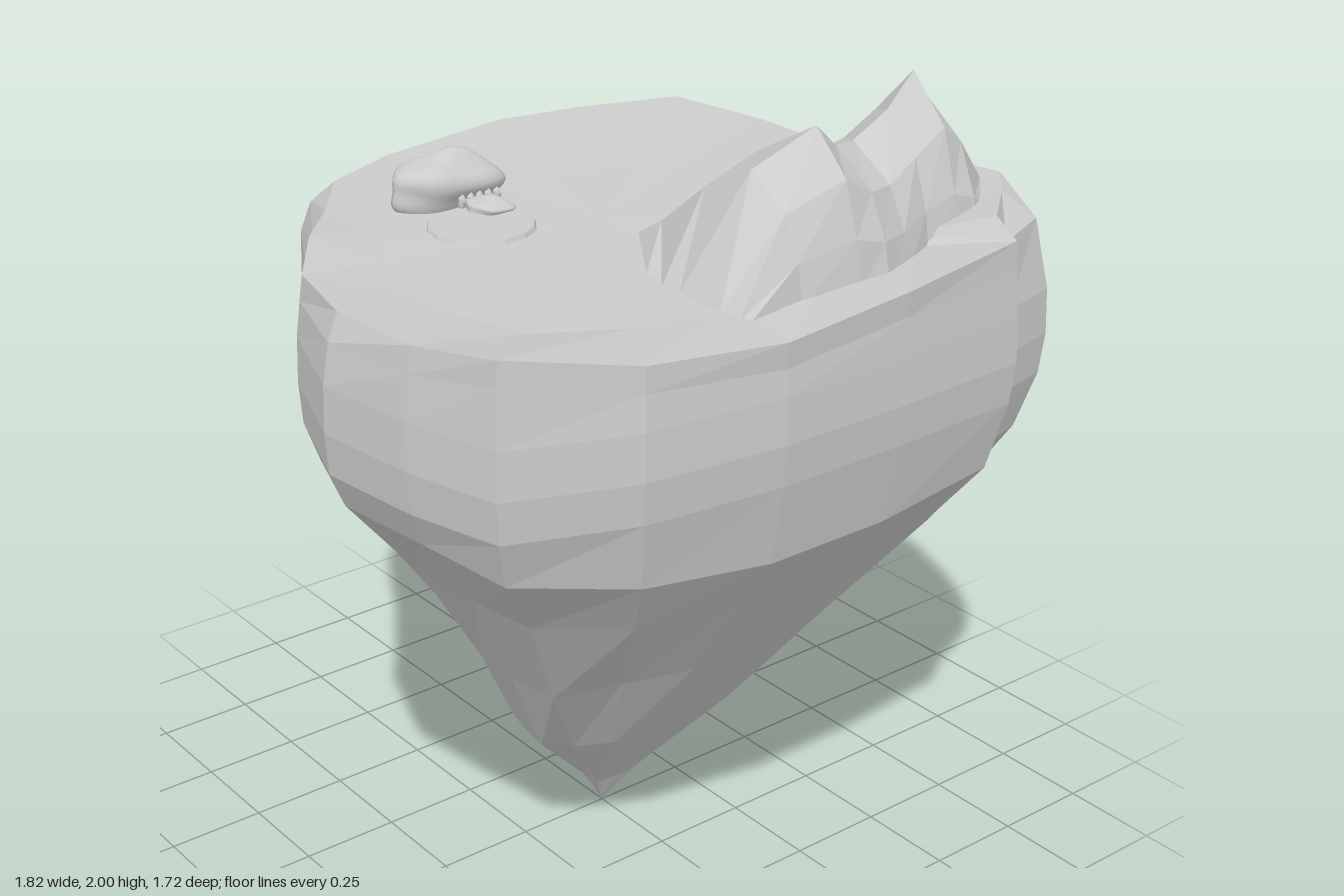
import * as THREE from 'three';

const stone = new THREE.MeshStandardMaterial({ color: 0xcccccc, flatShading: true, side: THREE.DoubleSide });
const smoothStone = new THREE.MeshStandardMaterial({ color: 0xcccccc });

// Faceted skin over rows of [x, y, z] points
function loft(rows, closed) {
  const pos = [];
  for (let i = 0; i < rows.length - 1; i++) {
    const n = rows[i].length;
    for (let k = 0; k < (closed ? n : n - 1); k++) {
      const m = (k + 1) % n;
      const a = rows[i][k], b = rows[i][m], c = rows[i + 1][m], d = rows[i + 1][k];
      pos.push(...a, ...b, ...c, ...a, ...c, ...d);
    }
  }
  const g = new THREE.BufferGeometry();
  g.setAttribute('position', new THREE.Float32BufferAttribute(pos, 3));
  g.computeVertexNormals();
  return g;
}

// Distance from the axis to a polygon along a direction
function reach(poly, angle) {
  const dx = Math.cos(angle), dz = Math.sin(angle);
  let best = 0;
  poly.forEach(([x1, z1], i) => {
    const [x2, z2] = poly[(i + 1) % poly.length];
    const ex = x2 - x1, ez = z2 - z1, det = dx * ez - dz * ex;
    if (Math.abs(det) < 1e-9) return;
    const r = (x1 * ez - z1 * ex) / det, s = (x1 * dz - z1 * dx) / det;
    if (s >= -1e-6 && s <= 1 + 1e-6) best = Math.max(best, r);
  });
  return best;
}

// Rim outline: x, z, top height, top inset, bottom height
const outline = [
  [0.27, -0.86, 1.64, 0.85, 1.16], [0.52, -0.77, 1.64, 0.9, 1.14], [0.78, -0.65, 1.64, 0.94, 1.1],
  [0.9, -0.4, 1.62, 0.91, 1.1], [0.905, -0.1, 1.62, 0.9, 1.18], [0.9, 0.23, 1.63, 0.97, 1.2],
  [0.78, 0.45, 1.72, 0.94, 1.2], [0.75, 0.62, 1.74, 0.95, 1.16], [0.72, 0.76, 1.73, 0.88, 1.15],
  [0.55, 0.8, 1.72, 0.95, 1.14], [0.53, 0.845, 1.68, 0.98, 1.12], [0.17, 0.86, 1.65, 0.99, 1.09],
  [-0.18, 0.86, 1.62, 0.99, 1.09], [-0.53, 0.82, 1.64, 0.98, 1.12], [-0.82, 0.71, 1.69, 0.98, 1.17],
  [-0.88, 0.48, 1.66, 0.97, 1.2], [-0.91, 0.21, 1.65, 0.94, 1.2], [-0.81, -0.06, 1.64, 0.97, 1.19],
  [-0.68, -0.24, 1.65, 0.97, 1.18], [-0.56, -0.43, 1.64, 0.92, 1.17], [-0.44, -0.65, 1.64, 0.87, 1.17],
  [-0.17, -0.76, 1.63, 0.9, 1.17],
];

// Cross-sections of the tapering rock below the rim
const sections = [
  [0.95, [[0.7, -0.4], [0.45, -0.7], [0.2, -0.72], [-0.12, -0.6], [-0.3, -0.45], [-0.58, -0.2], [-0.65, 0.1],
    [-0.62, 0.5], [-0.5, 0.66], [0, 0.71], [0.46, 0.68], [0.52, 0.45], [0.62, 0.1]]],
  [0.65, [[0.51, -0.4], [0.42, -0.57], [0.15, -0.55], [-0.1, -0.4], [-0.36, -0.15], [-0.47, 0.15],
    [-0.46, 0.38], [-0.1, 0.48], [0.37, 0.46], [0.42, 0.1]]],
  [0.38, [[0.42, -0.37], [0.4, -0.46], [0.1, -0.36], [-0.12, -0.2], [-0.3, 0], [-0.33, 0.2],
    [-0.16, 0.29], [0.2, 0.28], [0.3, 0]]],
  [0.1, [[0.07, -0.06], [-0.05, -0.06], [-0.06, 0.05], [0.06, 0.06]]],
];

function islandGeometry() {
  const ring = (scale, height) => outline.map((p) => {
    const s = scale(p);
    return [p[0] * s, height(p), p[1] * s];
  });
  const rows = [
    // Plateau, from the middle outwards
    ...[0, 0.4, 0.75].map((t) => ring((p) => p[3] * t, (p) => 1.62 + (p[2] - 1.62) * t * t * 0.5)),
    ring((p) => p[3], (p) => p[2]),
    // Rounded rim
    ring((p) => 0.25 * p[3] + 0.75 * 0.985, (p) => p[2] - 0.06),
    ring(() => 0.995, () => 1.5),
    ring(() => 1, () => 1.39),
    ring(() => 0.99, () => 1.29),
    ring(() => 0.945, (p) => p[4]),
    // Underside
    ...sections.map(([y, poly]) => outline.map(([x, z]) => {
      const a = Math.atan2(z, x), r = reach(poly, a);
      return [r * Math.cos(a), y, r * Math.sin(a)];
    })),
    ring(() => 0.02, () => 0.03),
    ring(() => 0, () => 0),
  ];
  return loft(rows, true);
}

// Mountain ridge columns: x, ridge height, ridge z, back foot z, front foot z
const ridge = [
  [-0.18, 1.62, 0.5, 0.34, 0.72], [0, 1.87, 0.52, 0.12, 0.7], [0.15, 1.95, 0.56, 0.07, 0.72],
  [0.23, 1.885, 0.54, 0.08, 0.73], [0.32, 1.87, 0.5, 0.12, 0.7], [0.42, 1.92, 0.5, 0.16, 0.66],
  [0.5, 2.0, 0.5, 0.2, 0.67], [0.56, 1.94, 0.47, 0.22, 0.68], [0.68, 1.77, 0.42, 0.24, 0.64],
  [0.77, 1.69, 0.42, 0.24, 0.55],
];

function mountainGeometry() {
  const base = 1.61;
  // Share of the ridge height and position from ridge to foot (front positive)
  const steps = [[0, 1], [0.35, 0.88], [0.72, 0.62], [1, 0], [0.7, -0.38], [0.24, -0.75], [0, -1]];
  return loft(steps.map(([h, t]) => ridge.map(([x, y, z, back, front]) => [
    x, base + (y - base) * h, z + (t > 0 ? (front - z) * t : (z - back) * t),
  ])), false);
}

// Smooth boulder with brow-like bulges
function boulderGeometry() {
  const g = new THREE.SphereGeometry(1, 32, 22);
  const p = g.attributes.position;
  for (let i = 0; i < p.count; i++) {
    const x = p.getX(i), y = p.getY(i), z = p.getZ(i);
    const s = 1 + 0.07 * Math.sin(5 * x + 1) * Math.cos(4 * z) + 0.06 * Math.sin(6 * y + 2 * x);
    p.setXYZ(i, x * s, y * s, z * s * (y < 0 && z > 0 ? 1 + 0.35 * y : 1));
  }
  g.computeVertexNormals();
  return g;
}

export function createModel() {
  const group = new THREE.Group();
  const add = (name, geometry, material, position = [0, 0, 0], scale = [1, 1, 1]) => {
    const mesh = new THREE.Mesh(geometry, material);
    mesh.name = name;
    mesh.position.set(...position);
    mesh.scale.set(...scale);
    group.add(mesh);
    return mesh;
  };

  add('floatingIsland', islandGeometry(), stone);
  add('mountainRidge', mountainGeometry(), stone);

  // Boulder with a small jutting lower part and a row of pebbles
  const ball = boulderGeometry();
  add('boulder', ball, smoothStone, [-0.225, 1.665, -0.315], [0.15, 0.085, 0.085]);
  add('boulderFoot', ball, smoothStone, [-0.19, 1.635, -0.19], [0.055, 0.025, 0.06]);
  for (let i = 0; i < 5; i++) {
    add('pebble', ball, smoothStone, [-0.24 + i * 0.025, 1.645, -0.228], [0.01, 0.018, 0.01]);
  }

  // Low worn slab in front of the boulder
  const slab = add('slab', new THREE.CylinderGeometry(0.13, 0.14, 0.02, 14), stone, [-0.27, 1.622, -0.11], [1, 1, 0.95]);
  slab.rotation.y = 0.3;
  return group;
}
